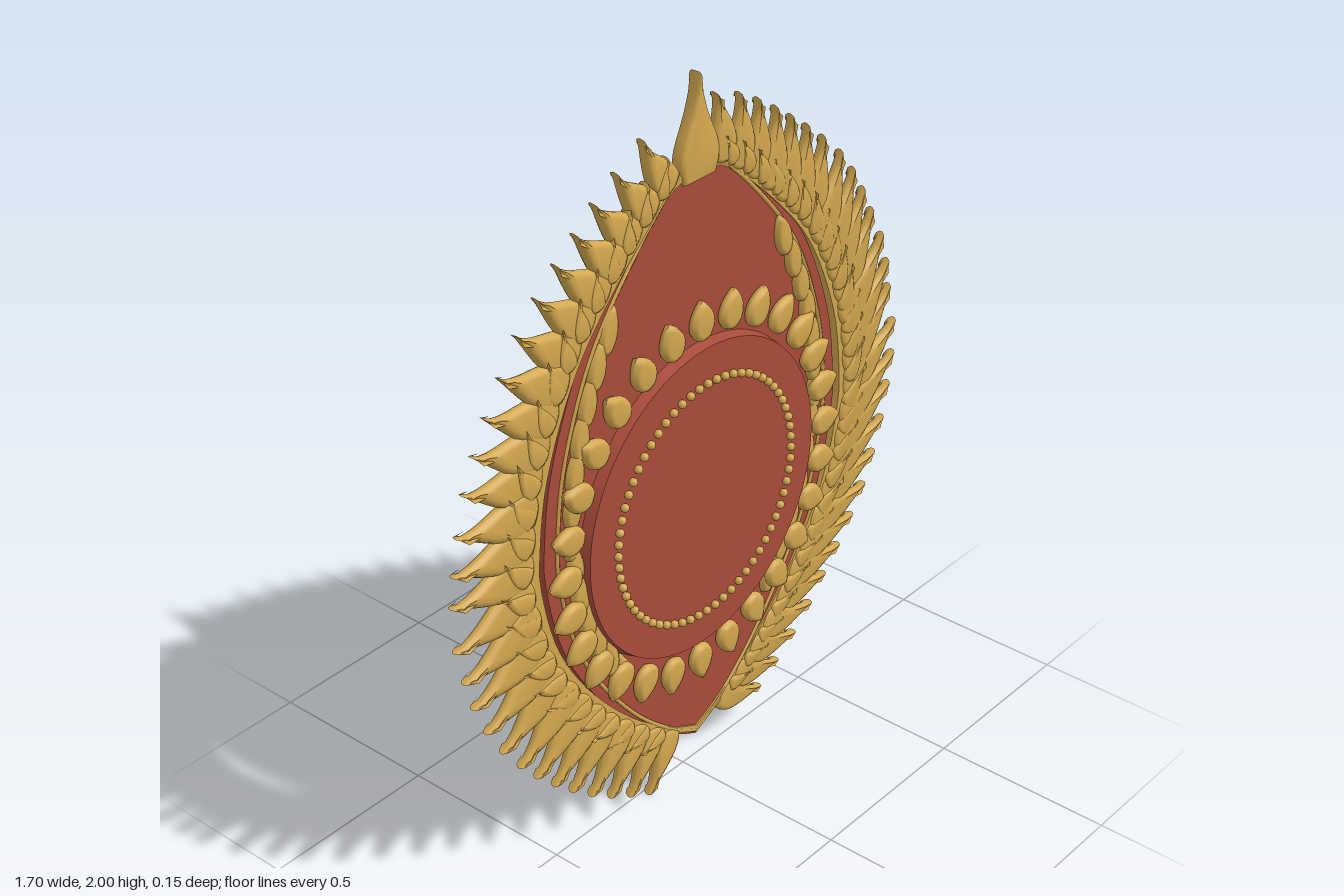
import * as THREE from 'three';
import { toCreasedNormals } from 'three/addons/utils/BufferGeometryUtils.js';

const CX = 0.023, CY = 0.85; // axis of the panel and centre of the medallion

// Right half of the pointed oval, bottom tip to top tip
const HALF = [[0, 0.1], [0.1, 0.155], [0.25, 0.28], [0.4, 0.46], [0.505, 0.65], [0.555, 0.85],
  [0.557, 0.97], [0.53, 1.15], [0.455, 1.35], [0.36, 1.5], [0.2, 1.67], [0.08, 1.765], [0, 1.78]];

function halfCurve(sx = 1, sy = 1) {
  return new THREE.SplineCurve(HALF.map(([x, y]) => new THREE.Vector2(x * sx, 0.92 + (y - 0.92) * sy)));
}

function lensPoints(sx, sy) {
  const right = halfCurve(sx, sy).getSpacedPoints(48);
  const left = right.slice(1, -1).reverse().map((p) => new THREE.Vector2(-p.x, p.y));
  return [...right, ...left];
}

function extrude(shape, depth, bevel, thickness, crease = 1) {
  const geo = new THREE.ExtrudeGeometry(shape, {
    depth: depth - 2 * thickness, curveSegments: 8, bevelEnabled: bevel > 0, bevelSize: bevel,
    bevelThickness: thickness, bevelOffset: -bevel, bevelSegments: 2,
  });
  geo.translate(0, 0, thickness);
  return toCreasedNormals(geo, crease);
}

// Unit-length flame whose tip hooks to one side
function flameShape(s) {
  const f = new THREE.Shape();
  f.moveTo(-0.22 * s, 0);
  f.bezierCurveTo(-0.36 * s, 0.3, -0.1 * s, 0.6, 0.15 * s, 1);
  f.bezierCurveTo(0.03 * s, 0.66, 0.31 * s, 0.36, 0.2 * s, 0);
  f.quadraticCurveTo(0, -0.14, -0.22 * s, 0);
  return f;
}

// Unit-length bud with a round base and a small point
function budShape() {
  const b = new THREE.Shape();
  b.moveTo(-0.18, 0);
  b.bezierCurveTo(-0.5, 0.25, -0.42, 0.68, 0, 1);
  b.bezierCurveTo(0.42, 0.68, 0.5, 0.25, 0.18, 0);
  b.quadraticCurveTo(0, -0.06, -0.18, 0);
  return b;
}

export function createModel() {
  const gold = new THREE.MeshStandardMaterial({ color: 0xd2a74f });
  gold.name = 'gold';
  const red = new THREE.MeshStandardMaterial({ color: 0xa94b3a });
  red.name = 'red';

  const model = new THREE.Group();
  model.name = 'ornamentalShield';
  const body = new THREE.Group();
  body.name = 'body';
  body.position.x = CX;
  model.add(body);

  function add(parent, name, geo, mat, x = 0, y = 0, z = 0) {
    const mesh = new THREE.Mesh(geo, mat);
    mesh.name = name;
    mesh.position.set(x, y, z);
    parent.add(mesh);
    return mesh;
  }
  function group(name) {
    const g = new THREE.Group();
    g.name = name;
    body.add(g);
    return g;
  }

  // Red pointed panel and the gold band around it
  add(body, 'panel', extrude(new THREE.Shape(lensPoints(1, 1)), 0.033, 0, 0), red, 0, 0, -0.008);
  const bandShape = new THREE.Shape(lensPoints(1.15, 0.985));
  bandShape.holes.push(new THREE.Path(lensPoints(1.037, 0.965)));
  add(body, 'band', extrude(bandShape, 0.04, 0, 0), gold, 0, 0, -0.01);

  // Thin inlay wires on both faces of the panel
  const wire = new THREE.CatmullRomCurve3(
    lensPoints(0.92, 0.985).map((p) => new THREE.Vector3(p.x, p.y, 0)), true);
  const wireGeo = new THREE.TubeGeometry(wire, 120, 0.006, 6, true);
  add(body, 'frontInlay', wireGeo, gold, 0, 0, 0.026);
  add(body, 'backInlay', wireGeo, gold, 0, 0, -0.008);

  // Flames and small leaves along both edges, swept the same way round
  for (const side of [-1, 1]) {
    const rim = halfCurve(1.1, 0.985);
    const flameGeo = extrude(flameShape(-side), 0.034, 0.07, 0.013);
    const flames = group(side < 0 ? 'rightFlames' : 'leftFlames');
    const leaves = group(side < 0 ? 'rightRimLeaves' : 'leftRimLeaves');
    const place = (parent, name, t, size, tilt, z) => {
      const p = rim.getPointAt(t), d = rim.getTangentAt(t);
      const m = add(parent, name, flameGeo, gold, side * p.x, p.y, z);
      m.rotation.z = Math.atan2(-d.x, side * d.y) + tilt - Math.PI / 2;
      m.scale.set(size, size, 1);
    };
    const count = 27;
    for (let i = 0; i < count; i++) {
      const t = 0.055 + 0.9 * i / (count - 1);
      const size = 0.165 + 0.085 * Math.sin(Math.PI * t);
      place(flames, 'flame', t, size, side < 0 ? 0.25 : 0.5, (i % 4) * 0.001);
      if (i < count - 1) place(leaves, 'rimLeaf', t + 0.017, size * 0.52, side < 0 ? -0.6 : 0.9, 0.004);
    }
  }

  // Crown spike at the top
  const spike = new THREE.Shape();
  spike.moveTo(-0.055, 1.73);
  spike.lineTo(0.055, 1.73);
  spike.bezierCurveTo(0.1, 1.83, 0.02, 1.84, 0, 2);
  spike.bezierCurveTo(-0.02, 1.84, -0.1, 1.83, -0.055, 1.73);
  add(body, 'crownSpike', extrude(spike, 0.04, 0.008, 0.01), gold);

  // Raised medallion with a bead circle
  const disc = new THREE.CylinderGeometry(0.432, 0.44, 0.034, 96).rotateX(Math.PI / 2);
  add(body, 'medallion', toCreasedNormals(disc, 0.6), red, 0, CY, 0.038);
  const beads = group('beads');
  const beadGeo = new THREE.SphereGeometry(0.0115, 10, 8);
  for (let i = 0; i < 64; i++) {
    const a = i / 64 * Math.PI * 2;
    add(beads, 'bead', beadGeo, gold, 0.337 * Math.cos(a), CY + 0.337 * Math.sin(a), 0.062);
  }

  // Ring of buds around the medallion
  const budGeo = extrude(budShape(), 0.03, 0.12, 0.013);
  const buds = group('budRing');
  for (let i = 0; i < 28; i++) {
    const a = i / 28 * Math.PI * 2;
    const m = add(buds, 'bud', budGeo, gold, -0.455 * Math.sin(a), CY + 0.455 * Math.cos(a), 0.026);
    m.rotation.z = a;
    m.scale.set(0.105, 0.105, 1);
  }

  // Upright leaves up each side of the panel
  const sideLeaves = group('sideLeaves');
  const path = halfCurve(0.84, 0.93);
  for (const side of [-1, 1]) {
    for (let i = 0; i < 13; i++) {
      const p = path.getPointAt(0.2 + 0.55 * i / 12);
      const m = add(sideLeaves, 'sideLeaf', budGeo, gold, side * p.x, p.y, 0.012);
      m.rotation.z = side * (p.y - 0.85) * 0.5;
      m.scale.set(0.075, 0.125, 1);
    }
  }

  // Concentric hoops behind the panel
  const hoops = group('backHoops');
  for (const [radius, tube] of [[0.443, 0.0155], [0.387, 0.009], [0.285, 0.009], [0.182, 0.0125]]) {
    add(hoops, 'hoop', new THREE.TorusGeometry(radius, tube, 10, 80), gold, 0, CY, -0.061);
  }
  return model;
}
